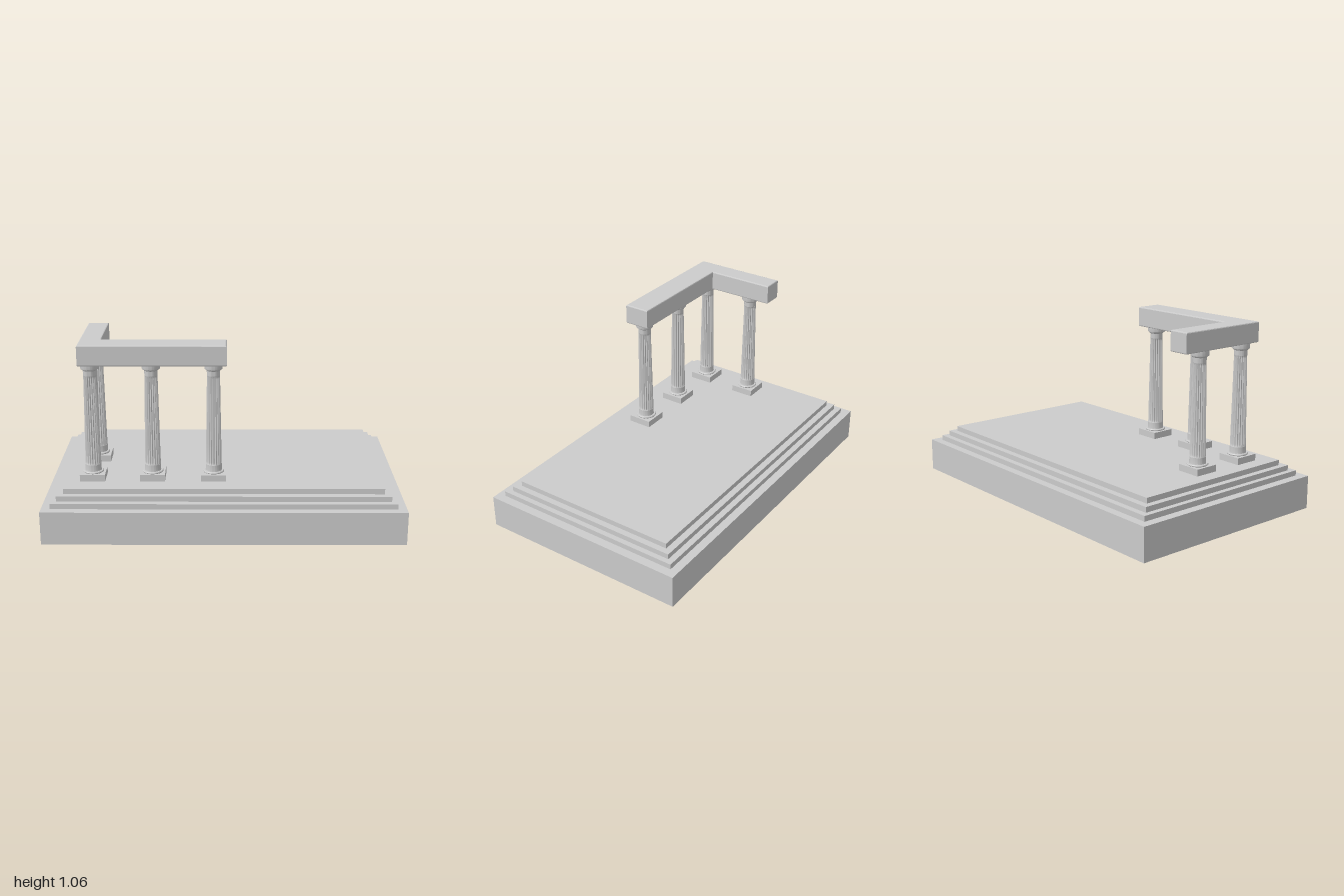
import * as THREE from 'three';
import { toCreasedNormals } from 'three/addons/utils/BufferGeometryUtils.js';

const material = new THREE.MeshStandardMaterial({ color: 0xcccccc });

function addMesh(parent, name, geometry, x = 0, y = 0, z = 0) {
  const mesh = new THREE.Mesh(geometry, material);
  mesh.name = name;
  mesh.position.set(x, y, z);
  parent.add(mesh);
  return mesh;
}

// Box given by its full width and depth and its bottom and top heights
function addSlab(parent, name, width, depth, bottom, top) {
  return addMesh(parent, name, new THREE.BoxGeometry(width, top - bottom, depth), 0, (bottom + top) / 2, 0);
}

function turned(profile, segments = 48) {
  const points = profile.map(([r, y]) => new THREE.Vector2(r, y));
  return new THREE.LatheGeometry(points, segments);
}

// Tapered shaft whose flutes fade out at both ends
function flutedShaft(bottom, top, bottomRadius, topRadius) {
  const flutes = 20, depth = 0.005, profile = [];
  const stops = [0, 0.012, 0.03, 0.25, 0.5, 0.75, 0.97, 0.988, 1];
  for (const t of stops) {
    profile.push([THREE.MathUtils.lerp(bottomRadius, topRadius, t), THREE.MathUtils.lerp(bottom, top, t)]);
  }
  const geometry = turned(profile, flutes * 6);
  const p = geometry.attributes.position;
  for (let i = 0; i < p.count; i++) {
    const x = p.getX(i), z = p.getZ(i), r = Math.hypot(x, z);
    const t = (p.getY(i) - bottom) / (top - bottom);
    const fade = Math.sqrt(THREE.MathUtils.clamp(Math.min(t, 1 - t) / 0.03, 0, 1));
    const cut = depth * fade * Math.abs(Math.sin(Math.atan2(x, z) * flutes / 2));
    p.setX(i, x * (r - cut) / r);
    p.setZ(i, z * (r - cut) / r);
  }
  return toCreasedNormals(geometry, 0.6);
}

function createColumn(parts, x, z) {
  const column = new THREE.Group();
  column.name = 'column';
  column.position.set(x, 0, z);
  addSlab(column, 'plinth', 0.14, 0.14, 0.28, 0.318);
  addMesh(column, 'columnBase', parts.base);
  addMesh(column, 'shaft', parts.shaft);
  addMesh(column, 'capital', parts.capital);
  return column;
}

// L-shaped beam with a slightly bevelled edge
function beamGeometry() {
  const b = 0.006, bottom = 0.947, top = 1.062;
  const [left, right, front, back] = [-0.793 + b, 0.015 - b, 0.395 - b, -0.15 + b];
  const innerX = -0.675 - b, innerZ = 0.246 + b;
  // Shape y is -z, so the outline lies flat after the rotation
  const outline = [[left, front], [right, front], [right, innerZ], [innerX, innerZ], [innerX, back], [left, back]];
  const shape = new THREE.Shape(outline.map(([x, z]) => new THREE.Vector2(x, -z)));
  const geometry = new THREE.ExtrudeGeometry(shape, {
    depth: top - bottom - 2 * b, bevelThickness: b, bevelSize: b, bevelSegments: 2,
  });
  geometry.rotateX(-Math.PI / 2);
  geometry.translate(0, bottom + b, 0);
  return geometry;
}

export function createModel() {
  const model = new THREE.Group();
  model.name = 'ruinedTemple';

  // Podium and three steps
  addSlab(model, 'podium', 2, 1.235, 0, 0.19);
  [[1.9, 1.14], [1.84, 1.07], [1.77, 0.995]].forEach(([w, d], i) => {
    addSlab(model, 'step', w, d, 0.19 + i * 0.03, 0.22 + i * 0.03);
  });

  // Shared column parts
  const parts = {
    base: toCreasedNormals(turned([
      [0, 0.316], [0.055, 0.316], [0.058, 0.32], [0.058, 0.324], [0.055, 0.328],
      [0.046, 0.328], [0.045, 0.335], [0.045, 0.365],
    ]), 0.6),
    shaft: flutedShaft(0.365, 0.88, 0.0445, 0.036),
    capital: toCreasedNormals(turned([
      [0.036, 0.88], [0.037, 0.908], [0.041, 0.911], [0.043, 0.915], [0.049, 0.917],
      [0.05, 0.921], [0.05, 0.947], [0, 0.947],
    ]), 0.6),
  };

  // Three front columns and one on the right side
  for (const [x, z] of [[-0.735, 0.32], [-0.4, 0.32], [-0.058, 0.32], [-0.735, 0.006]]) {
    model.add(createColumn(parts, x, z));
  }

  addMesh(model, 'cornerBeam', beamGeometry());
  return model;
}
